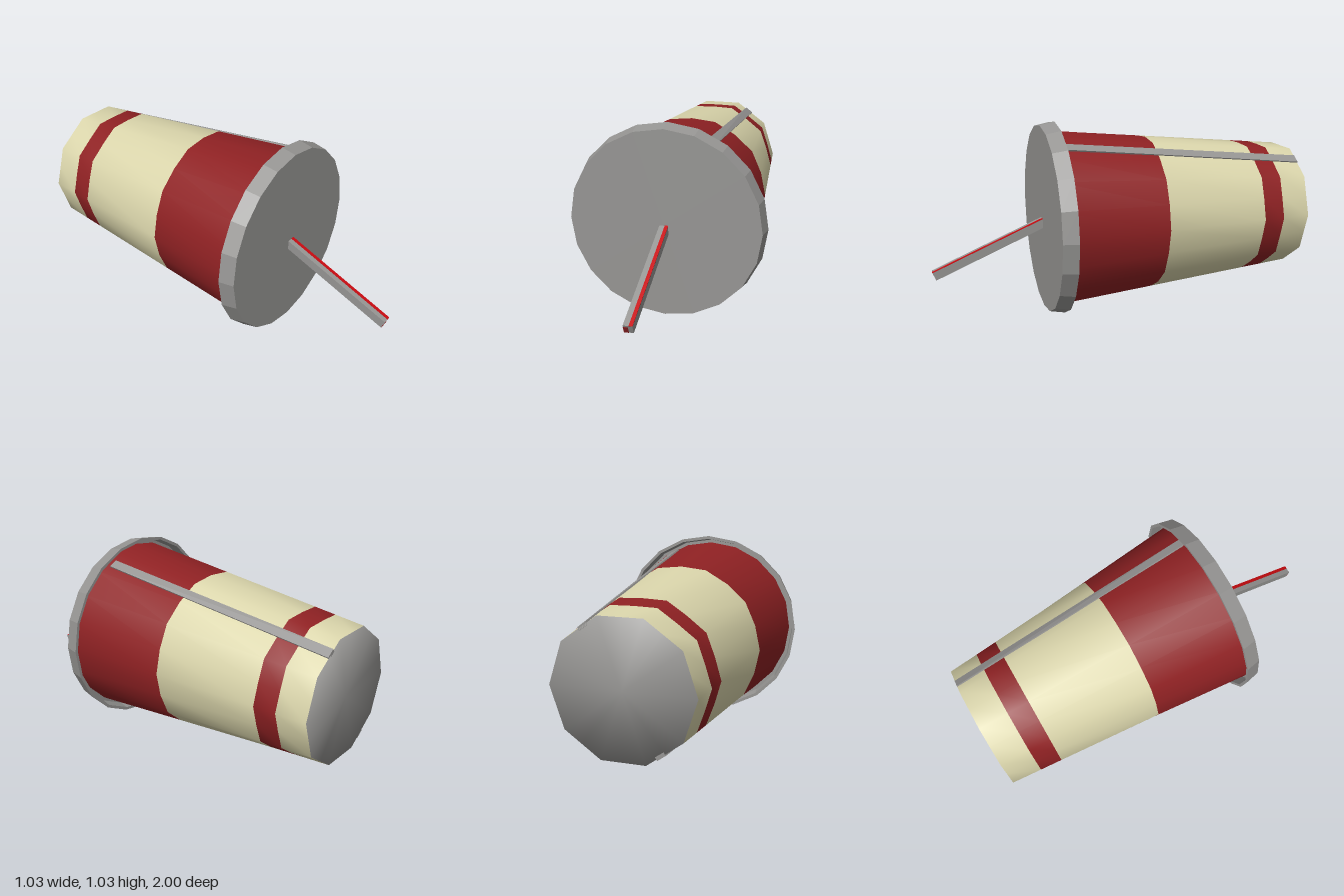
import * as THREE from 'three';
import { ConvexGeometry } from 'three/addons/geometries/ConvexGeometry.js';

const SIDES = 20, FRONT = 0.4, BACK = -1;

function material(name, color, options = {}) {
  const m = new THREE.MeshStandardMaterial({ color, ...options });
  m.name = name;
  return m;
}

// Point on the cup wall: a twenty-sided mouth tapering to a ten-sided base
function wallPoint(i, z) {
  const t = (FRONT - z) / (FRONT - BACK);
  const a = (i / SIDES) * Math.PI * 2;
  const base = 0.345 * (i % 2 ? Math.cos(Math.PI / 10) : 1);
  const r = THREE.MathUtils.lerp(0.474, base, t);
  return [r * Math.cos(a), 0.521 - 0.008 * t + r * Math.sin(a), z];
}

function indexed(positions, indices) {
  const g = new THREE.BufferGeometry();
  g.setAttribute('position', new THREE.Float32BufferAttribute(positions, 3));
  g.setIndex(indices);
  g.computeVertexNormals();
  return g;
}

// One colour band of the cup wall
function bandGeometry(z0, z1) {
  const pos = [], idx = [];
  for (let i = 0; i < SIDES; i++) pos.push(...wallPoint(i, z0), ...wallPoint(i, z1));
  for (let i = 0; i < SIDES; i++) {
    const a = i * 2, b = ((i + 1) % SIDES) * 2;
    idx.push(a, a + 1, b, b, a + 1, b + 1);
  }
  return indexed(pos, idx);
}

// Closed base with softened normals at its edge
function baseGeometry() {
  const pos = [0, 0.513, BACK], idx = [], normals = [0, 0, -1];
  for (let i = 0; i < SIDES; i++) {
    const a = (i / SIDES) * Math.PI * 2, k = Math.SQRT1_2;
    pos.push(...wallPoint(i, BACK));
    normals.push(k * Math.cos(a), k * Math.sin(a), -k);
    idx.push(0, 1 + ((i + 1) % SIDES), 1 + i);
  }
  const g = indexed(pos, idx);
  g.setAttribute('normal', new THREE.Float32BufferAttribute(normals, 3));
  return g;
}

export function createModel() {
  const grey = material('grey', 0x969593, { flatShading: true });
  const baseGrey = material('base grey', 0x969593);
  const cream = material('cream', 0xdad5ab);
  const darkRed = material('dark red', 0x8f2123);
  const brightRed = material('bright red', 0xc80a10);
  const model = new THREE.Group();
  model.name = 'drinkingCup';

  function add(name, geometry, mat, parent = model) {
    const mesh = new THREE.Mesh(geometry, mat);
    mesh.name = name;
    parent.add(mesh);
    return mesh;
  }

  // Cup wall in four bands, and its base
  add('wideRedBand', bandGeometry(FRONT, -0.17), darkRed);
  add('wideCreamBand', bandGeometry(-0.17, -0.73), cream);
  add('narrowRedBand', bandGeometry(-0.73, -0.845), darkRed);
  add('endCreamBand', bandGeometry(-0.845, BACK), cream);
  add('cupBase', baseGeometry(), baseGrey);

  // Raised seams running the length of the cup, on opposite sides
  for (const s of [1, -1]) {
    const points = [];
    for (const lift of [-0.012, 0.007]) {
      for (const [x, y, cy, z] of [
        [0.185, 0.426, 0.52, 0.34], [0.23, 0.404, 0.52, 0.34],
        [0.155, 0.293, 0.513, BACK], [0.195, 0.264, 0.513, BACK],
      ]) points.push(new THREE.Vector3(s * (x + lift * 0.5), cy + s * (y + lift * 0.86), z));
    }
    add(s > 0 ? 'upperSeam' : 'lowerSeam', new ConvexGeometry(points), grey);
  }

  // Lid with a flared, hollow rim
  const profile = [[0, 0.385], [0.49, 0.385], [0.5, 0.33], [0.516, 0.33], [0.5, 0.41], [0, 0.41]]
    .map(([r, z]) => new THREE.Vector2(r, z));
  const lidGeometry = new THREE.LatheGeometry(profile, SIDES);
  lidGeometry.rotateX(Math.PI / 2);
  lidGeometry.translate(0, 0.52, 0);
  add('lid', lidGeometry, grey);

  // Straw: a square rod sloping down towards the front
  const straw = new THREE.Group();
  straw.name = 'straw';
  const start = new THREE.Vector3(-0.001, 0.503, 0.39);
  const end = new THREE.Vector3(-0.001, 0.254, 0.991);
  const length = start.distanceTo(end), w = 0.046;
  straw.position.copy(start).add(end).multiplyScalar(0.5);
  straw.lookAt(end);
  add('strawRod', new THREE.BoxGeometry(w, w, length), grey, straw);
  add('strawStripe', new THREE.BoxGeometry(0.018, 0.003, length), brightRed, straw)
    .position.set(w / 2 - 0.009, w / 2 + 0.0005, 0);
  add('strawTip', new THREE.BoxGeometry(w / 2, w * 0.8, 0.003), darkRed, straw)
    .position.set(-w / 4, -w * 0.1, length / 2 + 0.0005);
  model.add(straw);

  return model;
}
